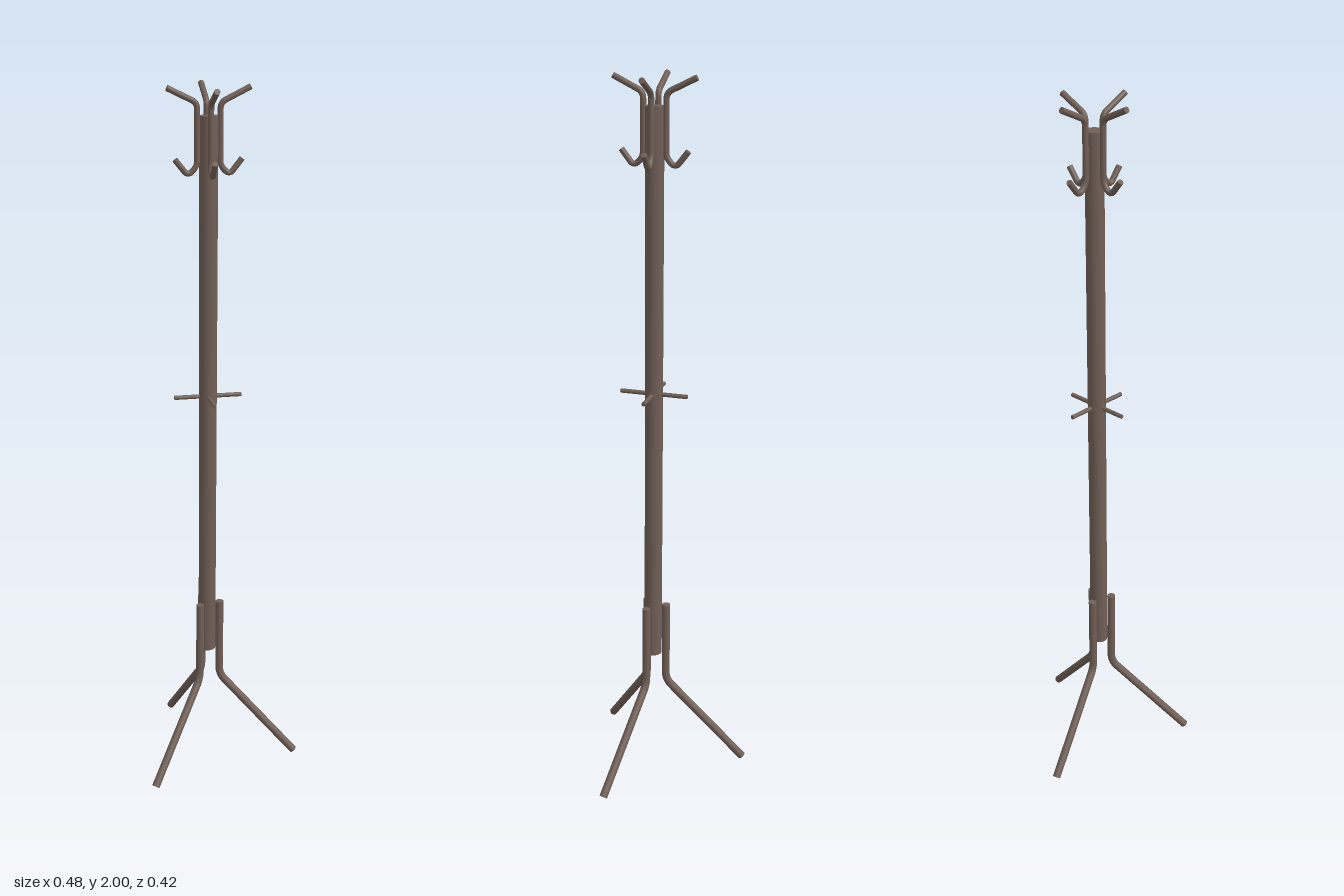
import * as THREE from 'three';

const AXIS_Z = -0.065;

// Path through [outward, height] points, with each inner corner rounded off
function roundedPath(points, bend) {
  const p = points.map(([r, y]) => new THREE.Vector3(0, y, r));
  const path = new THREE.CurvePath();
  let from = p[0];
  for (let i = 1; i < p.length - 1; i++) {
    const a = p[i].clone().add(p[i - 1].clone().sub(p[i]).setLength(bend));
    const b = p[i].clone().add(p[i + 1].clone().sub(p[i]).setLength(bend));
    path.add(new THREE.LineCurve3(from, a));
    path.add(new THREE.QuadraticBezierCurve3(a, p[i], b));
    from = b;
  }
  path.add(new THREE.LineCurve3(from, p[p.length - 1]));
  return path;
}

export function createModel() {
  const model = new THREE.Group();
  model.name = 'coatStand';
  const material = new THREE.MeshStandardMaterial({ color: 0x705f56 });

  // Round bent rod, closed at both ends, turned around the pole
  function rod(name, points, radius, bend, angle) {
    const group = new THREE.Group();
    group.name = name;
    const path = roundedPath(points, bend);
    group.add(new THREE.Mesh(new THREE.TubeGeometry(path, 64, radius, 16), material));
    for (const t of [0, 1]) {
      const cap = new THREE.Mesh(new THREE.CircleGeometry(radius, 16), material);
      const outward = path.getTangentAt(t).multiplyScalar(t ? 1 : -1);
      cap.position.copy(path.getPointAt(t));
      cap.quaternion.setFromUnitVectors(new THREE.Vector3(0, 0, 1), outward);
      group.add(cap);
    }
    group.rotation.y = angle;
    group.position.z = AXIS_Z;
    model.add(group);
  }

  // Central pole
  const pole = new THREE.Mesh(new THREE.CylinderGeometry(0.025, 0.025, 1.565, 32), material);
  pole.name = 'pole';
  pole.position.set(0, 1.1375, AXIS_Z);
  model.add(pole);

  // Three splayed legs, one of them straight to the front
  for (let i = 0; i < 3; i++) {
    rod('leg', [[0.037, 0.51], [0.037, 0.265], [0.267, 0.008]], 0.0115, 0.025, i * Math.PI * 2 / 3);
  }

  // Four double hooks and four short pegs on the diagonals
  for (let i = 0; i < 4; i++) {
    const angle = Math.PI / 4 + i * Math.PI / 2;
    rod('doubleHook',
      [[0.031, 1.78], [0.031, 1.953], [0.111, 1.992]].reverse().slice(0, 2)
        .concat([[0.031, 1.79], [0.056, 1.765], [0.09, 1.808]]),
      0.008, 0.016, angle);
    rod('peg', [[0.015, 1.15], [0.095, 1.15]], 0.006, 0, angle);
  }
  return model;
}
